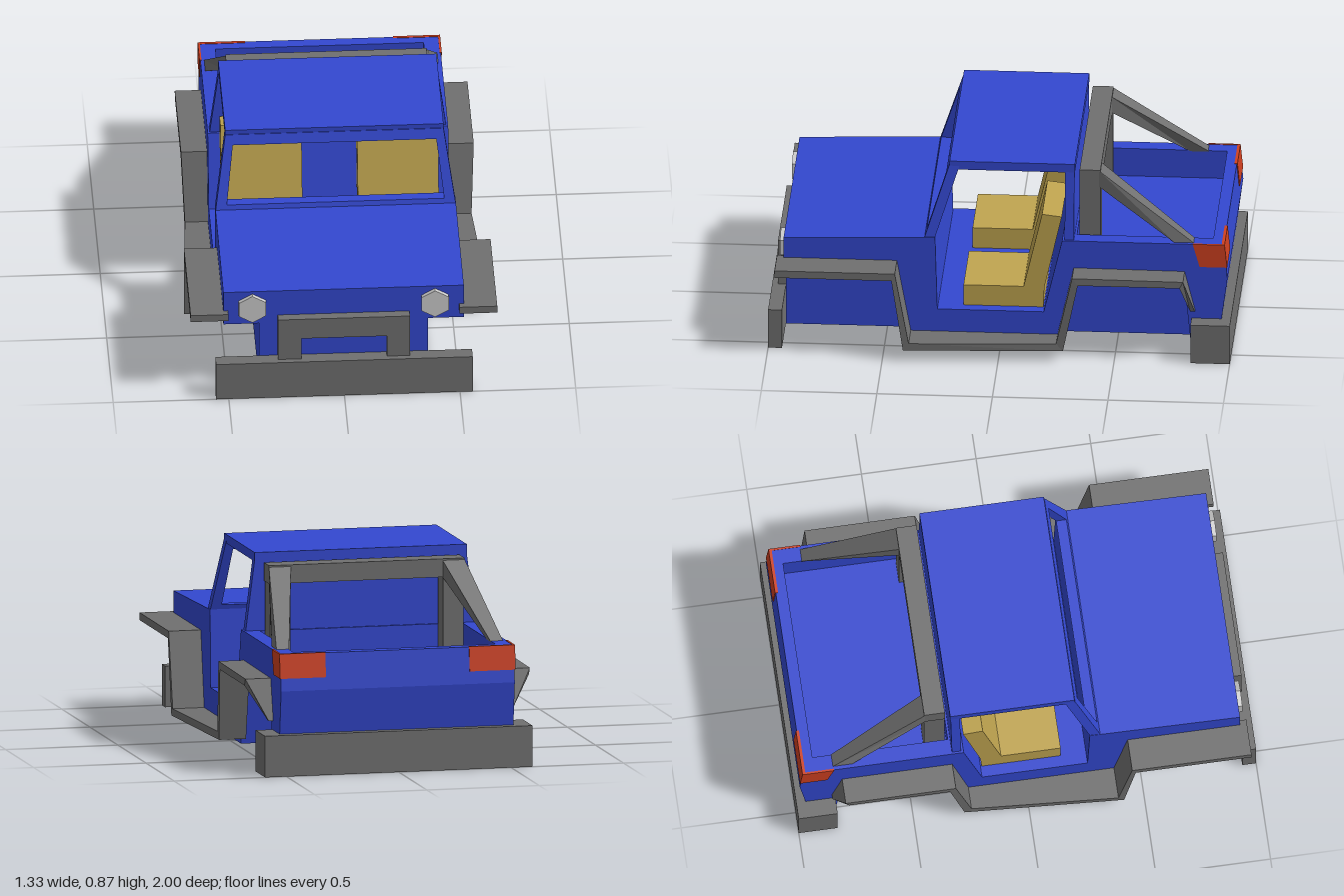
import * as THREE from 'three';

const paint = (color) => new THREE.MeshStandardMaterial({ color, flatShading: true });

export function createModel() {
  const model = new THREE.Group();
  const blue = paint(0x3348d0), trim = paint(0x707070), tan = paint(0xc0a550);
  const red = paint(0xd04020), lamp = paint(0xcccccc);

  const add = (name, geometry, material) => {
    const mesh = new THREE.Mesh(geometry, material);
    mesh.name = name;
    model.add(mesh);
    return mesh;
  };
  const shapeOf = (pts) => new THREE.Shape(pts.map(([a, b]) => new THREE.Vector2(a, b)));

  // Box given by its limits on each axis
  const box = (name, x0, x1, y0, y1, z0, z1, material) => add(name,
    new THREE.BoxGeometry(x1 - x0, y1 - y0, z1 - z0)
      .translate((x0 + x1) / 2, (y0 + y1) / 2, (z0 + z1) / 2), material);

  // Side profile of [z, y] points, extruded from x0 to x1
  const slab = (name, pts, x0, x1, material) => add(name,
    new THREE.ExtrudeGeometry(shapeOf(pts), { depth: x1 - x0, bevelEnabled: false })
      .rotateY(-Math.PI / 2).translate(x1, 0, 0), material);

  // Solid lofted through four-cornered sections, with both ends capped
  const loft = (name, sections, material) => {
    const pos = sections.flat(2), index = [], last = (sections.length - 1) * 4;
    for (let s = 0; s < last; s += 4) {
      for (let i = 0; i < 4; i++) {
        const j = (i + 1) % 4;
        index.push(s + i, s + j, s + 4 + j, s + i, s + 4 + j, s + 4 + i);
      }
    }
    index.push(0, 2, 1, 0, 3, 2, last, last + 1, last + 2, last, last + 2, last + 3);
    const g = new THREE.BufferGeometry();
    g.setAttribute('position', new THREE.Float32BufferAttribute(pos, 3));
    g.setIndex(index);
    const flat = g.toNonIndexed();
    flat.computeVertexNormals();
    return add(name, flat, material);
  };

  // Body: hood, cab floor and load bed, in slabs across the width
  const hoodAndCab = [[0.935, 0.51], [0.28, 0.53], [0.27, 0.19], [-0.19, 0.19], [-0.27, 0.53]];
  const bed = [[-0.33, 0.53], [-0.33, 0.4], [-0.92, 0.4], [-0.92, 0.53]];
  const tail = [[-0.97, 0.53], [-0.985, 0.37], [-0.96, 0.18], [-0.9, 0.03]];
  const arches = [
    [-0.83, 0.03], [-0.8, 0.33], [-0.64, 0.37], [-0.46, 0.37], [-0.32, 0.335], [-0.27, 0.03],
    [0.41, 0.03], [0.46, 0.345], [0.6, 0.38], [0.83, 0.38], [0.935, 0.345],
  ];
  slab('bodyCore', [...hoodAndCab, ...bed, ...tail, [0.935, 0.03]], -0.365, 0.365, blue);
  for (const [name, x0, x1, top] of [['wheelArch', 0.365, 0.45, bed], ['bodySide', 0.45, 0.52, []]]) {
    const pts = [...hoodAndCab, ...top, ...tail, ...arches];
    slab(name + 'Left', pts, x0, x1, blue);
    slab(name + 'Right', pts, -x1, -x0, blue);
  }

  // Windshield frame, leaned back by shearing z with height
  const frame = shapeOf([[-0.52, 0.52], [0.52, 0.52], [0.472, 0.85], [-0.472, 0.85]]);
  frame.holes.push(shapeOf([[-0.47, 0.55], [-0.44, 0.805], [0.44, 0.805], [0.47, 0.55]]));
  const frameGeo = new THREE.ExtrudeGeometry(frame, { depth: 0.045, bevelEnabled: false });
  const p = frameGeo.attributes.position;
  for (let i = 0; i < p.count; i++) p.setZ(i, p.getZ(i) + 0.28 - 0.32 * (p.getY(i) - 0.53));
  frameGeo.computeVertexNormals();
  add('windshieldFrame', frameGeo, blue);

  // Cab rear wall and roof
  const wall = shapeOf([[-0.515, 0.5], [0.515, 0.5], [0.47, 0.85], [-0.47, 0.85]]);
  add('cabRearWall', new THREE.ExtrudeGeometry(wall, { depth: 0.04, bevelEnabled: false })
    .translate(0, 0, -0.32), blue);
  box('roof', -0.472, 0.472, 0.833, 0.872, -0.322, 0.22, blue);

  // Bumpers and front guard
  box('frontBumper', -0.555, 0.555, 0, 0.18, 0.94, 1, trim);
  box('rearBumper', -0.595, 0.595, 0, 0.18, -1, -0.83, trim);
  const guard = shapeOf([[-0.285, 0.1], [-0.185, 0.1], [-0.185, 0.285], [0.185, 0.285],
    [0.185, 0.1], [0.285, 0.1], [0.285, 0.385], [-0.285, 0.385]]);
  add('frontGuard', new THREE.ExtrudeGeometry(guard, { depth: 0.045, bevelEnabled: false })
    .translate(0, 0, 0.93), trim);

  // Fender flare stations: upper z, upper y, lower z, lower y, outer x
  const flare = [
    [0.965, 0.415, 0.965, 0.382, 0.663], [0.445, 0.415, 0.46, 0.382, 0.663],
    [0.385, 0.085, 0.41, 0.052, 0.66], [-0.25, 0.085, -0.28, 0.052, 0.62],
    [-0.32, 0.403, -0.345, 0.37, 0.633], [-0.8, 0.4, -0.785, 0.37, 0.633],
    [-0.845, 0.22, -0.825, 0.22, 0.54],
  ];
  // Roll bar hoop
  box('rollBarTop', -0.435, 0.435, 0.75, 0.83, -0.43, -0.34, trim);

  for (const [side, s] of [['Left', 1], ['Right', -1]]) {
    // Order of corners is reversed on the mirrored side
    const order = (section) => (s > 0 ? section : [...section].reverse());
    const span = (a, b) => (s > 0 ? [a, b] : [-b, -a]);

    loft('fenderFlare' + side, flare.map(([zu, yu, zl, yl, x]) => order([
      [s * 0.5, yu, zu], [s * 0.5, yl, zl], [s * x, yl, zl], [s * x, yu, zu],
    ]).reverse()), trim);

    // Roll bar leg and rear brace
    box('rollBarLeg' + side, ...span(0.34, 0.43), 0.4, 0.76, -0.43, -0.34, trim);
    loft('rollBarBrace' + side, [
      [[0.335, 0.83, -0.42], [0.335, 0.755, -0.42], [0.434, 0.755, -0.42], [0.434, 0.83, -0.42]],
      [[0.45, 0.525, -0.845], [0.45, 0.525, -0.76], [0.505, 0.525, -0.76], [0.505, 0.525, -0.845]],
    ].map((sec) => order(sec.map(([x, y, z]) => [s * x, y, z])).reverse()), trim);

    // Seat with cushion and leaning back
    slab('seat' + side, [[0.16, 0.19], [0.16, 0.285], [-0.1, 0.285], [-0.18, 0.63],
      [-0.265, 0.62], [-0.19, 0.285], [-0.185, 0.19]], ...span(0.12, 0.47), tan);

    // Six-sided headlight
    add('headlight' + side, new THREE.CylinderGeometry(0.068, 0.068, 0.03, 6)
      .rotateX(Math.PI / 2).translate(s * 0.395, 0.43, 0.94), lamp);

    // Tail light wrapped around the rear corner
    slab('tailLightSide' + side, [[-0.835, 0.532], [-0.973, 0.532], [-0.984, 0.425], [-0.865, 0.425]],
      ...span(0.515, 0.524), red);
    slab('tailLightRear' + side, [[-0.96, 0.532], [-0.973, 0.532], [-0.984, 0.425], [-0.96, 0.425]],
      ...span(0.32, 0.524), red);
  }
  return model;
}
